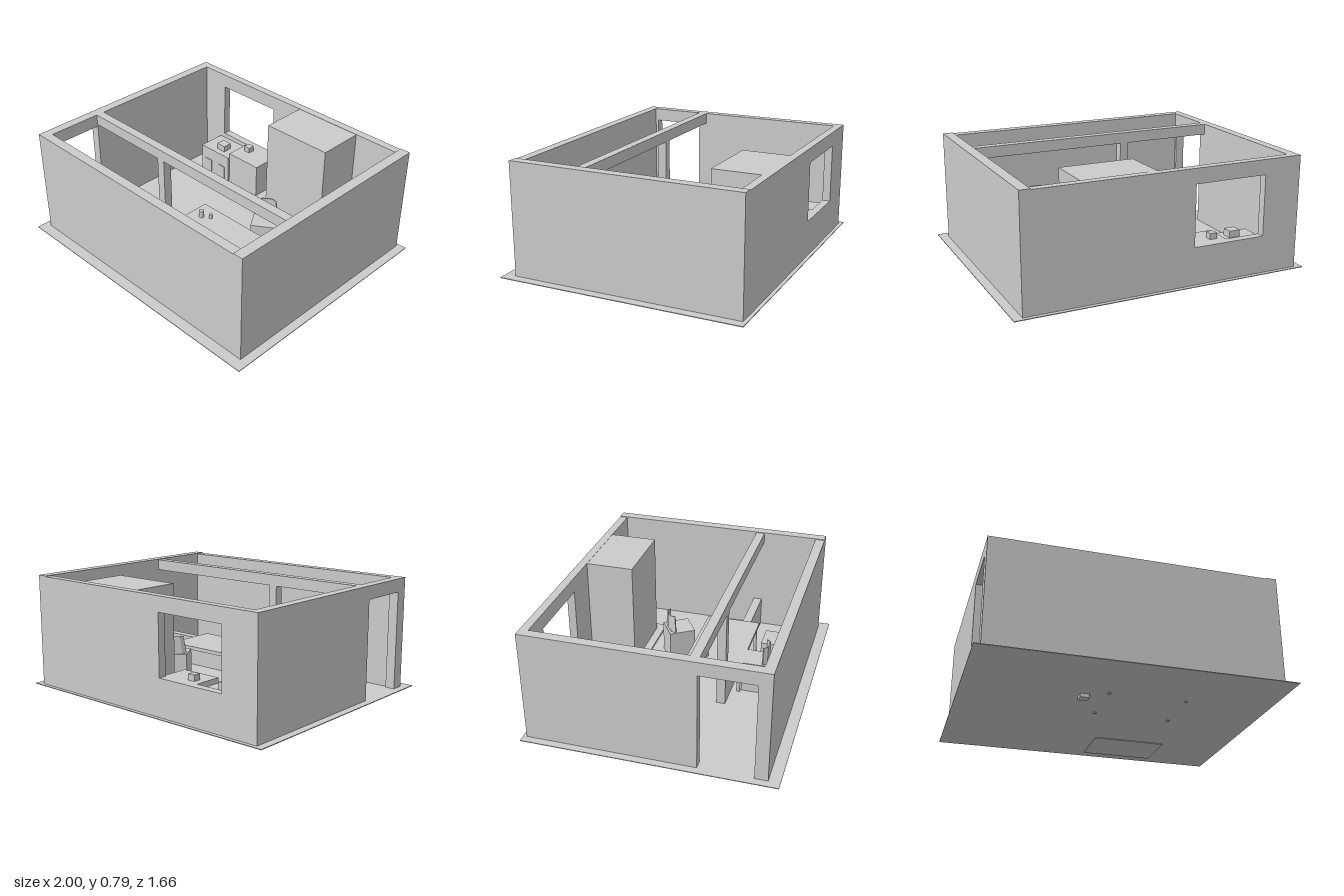
import * as THREE from 'three';

const grey = new THREE.MeshStandardMaterial({ color: 0xcccccc, side: THREE.DoubleSide, flatShading: true });

// Box given by its extents along each axis
function box(parent, name, [x0, x1], [y0, y1], [z0, z1]) {
  const mesh = new THREE.Mesh(new THREE.BoxGeometry(x1 - x0, y1 - y0, z1 - z0), grey);
  mesh.position.set((x0 + x1) / 2, (y0 + y1) / 2, (z0 + z1) / 2);
  mesh.name = name;
  parent.add(mesh);
  return mesh;
}

function cylinder(parent, name, radius, [y0, y1], x, z) {
  const mesh = new THREE.Mesh(new THREE.CylinderGeometry(radius, radius, y1 - y0, 16), grey);
  mesh.position.set(x, (y0 + y1) / 2, z);
  mesh.name = name;
  parent.add(mesh);
}

// Block chair with a curved backrest on its +z side
function chair(x, z, turn) {
  const group = new THREE.Group();
  group.name = 'chair';
  box(group, 'seat', [-0.09, 0.09], [0.03, 0.25], [-0.092, 0.092]);
  // Arched plan, narrowing towards the top
  const plan = new THREE.Shape();
  const outer = [[-0.083, -0.05], [-0.055, -0.075], [0, -0.082], [0.055, -0.075], [0.083, -0.05]];
  const inner = outer.map(([a, b]) => [a * 0.96, b + 0.007]).reverse();
  plan.setFromPoints([...outer, ...inner].map(([a, b]) => new THREE.Vector2(a, b)));
  const geo = new THREE.ExtrudeGeometry(plan, { depth: 0.12, bevelEnabled: false });
  const p = geo.attributes.position;
  for (let i = 0; i < p.count; i++) p.setX(i, p.getX(i) * (1 - 2.2 * p.getZ(i)));
  geo.rotateX(-Math.PI / 2);
  geo.computeVertexNormals();
  const back = new THREE.Mesh(geo, grey);
  back.name = 'backrest';
  back.position.y = 0.25;
  group.add(back);
  group.position.set(x, 0, z);
  group.rotation.y = turn;
  return group;
}

export function createModel() {
  const model = new THREE.Group();
  model.name = 'officeRoom';
  const base = 0.03, top = 0.785;
  const full = [base, top];

  box(model, 'floor', [-1, 1], [0.025, base], [-0.83, 0.83]);

  // Outer walls
  const walls = new THREE.Group();
  walls.name = 'outerWalls';
  model.add(walls);
  box(walls, 'frontWall', [-0.95, 0.87], full, [0.69, 0.755]);
  box(walls, 'leftWall', [0.87, 0.94], [base, 0.79], [-0.805, 0.755]);

  // Back wall around its window
  const backZ = [-0.805, -0.75];
  box(walls, 'backWallSide', [-0.95, -0.69], full, backZ);
  box(walls, 'backWallSide', [-0.19, 0.87], full, backZ);
  box(walls, 'windowSill', [-0.69, -0.19], [base, 0.28], backZ);
  box(walls, 'windowLintel', [-0.69, -0.19], [0.685, top], backZ);

  // Side wall with the entrance
  const sideX = [-0.95, -0.885];
  box(walls, 'rightWall', sideX, full, [-0.75, 0.315]);
  box(walls, 'doorPost', sideX, full, [0.67, 0.69]);
  box(walls, 'doorLintel', sideX, [0.695, top], [0.315, 0.67]);

  // Partition: beam, post and low wall under the service opening
  const partZ = [0.255, 0.315];
  box(model, 'partitionBeam', [-0.885, 0.87], [0.71, top], partZ);
  box(model, 'partitionPost', [-0.255, -0.195], [0, 0.71], partZ);
  box(model, 'partitionLowWall', [-0.195, 0.87], [base, 0.24], partZ);

  // Reception desk on four legs, running through the partition
  const desk = new THREE.Group();
  desk.name = 'desk';
  model.add(desk);
  box(desk, 'deskTop', [-0.135, 0.49], [0.225, 0.25], [0, 0.38]);
  for (const x of [-0.08, 0.43])
    for (const z of [0.02, 0.365]) cylinder(desk, 'deskLeg', 0.013, [0.02, 0.23], x, z);
  cylinder(desk, 'cup', 0.018, [0.25, 0.3], -0.045, 0.123);
  cylinder(desk, 'smallCup', 0.012, [0.25, 0.28], 0.012, 0.09);

  // Two visitor chairs and one turned office chair
  model.add(chair(0.025, 0.472, 0), chair(0.312, 0.542, 0), chair(0.286, -0.166, -2.56));

  // Cabinets below the window
  const cabinets = new THREE.Group();
  cabinets.name = 'cabinets';
  model.add(cabinets);
  box(cabinets, 'lowCabinet', [-0.73, -0.45], [base, 0.245], [-0.75, -0.545]);
  box(cabinets, 'tallCabinet', [-0.45, -0.17], [base, 0.28], [-0.75, -0.56]);
  for (const x of [-0.69, -0.55])
    box(cabinets, 'cabinetDoor', [x, x + 0.065], [0.05, 0.15], [-0.545, -0.539]);
  box(cabinets, 'lowCabinetBox', [-0.61, -0.535], [0.245, 0.29], [-0.66, -0.59]);
  box(cabinets, 'tallCabinetBox', [-0.4, -0.35], [0.28, 0.32], [-0.72, -0.67]);

  // Full-height cupboard standing on a tapered platform
  box(model, 'cupboard', [0.05, 0.55], [0.02, 0.783], [-0.75, -0.425]);
  const plan = new THREE.Shape([[-0.065, 0.75], [-0.005, 0.37], [0.61, 0.37], [0.665, 0.75]]
    .map(([a, b]) => new THREE.Vector2(a, b)));
  const geo = new THREE.ExtrudeGeometry(plan, { depth: 0.012, bevelEnabled: false });
  geo.rotateX(-Math.PI / 2);
  const platform = new THREE.Mesh(geo, grey);
  platform.name = 'platform';
  platform.position.y = base;
  model.add(platform);

  return model;
}
